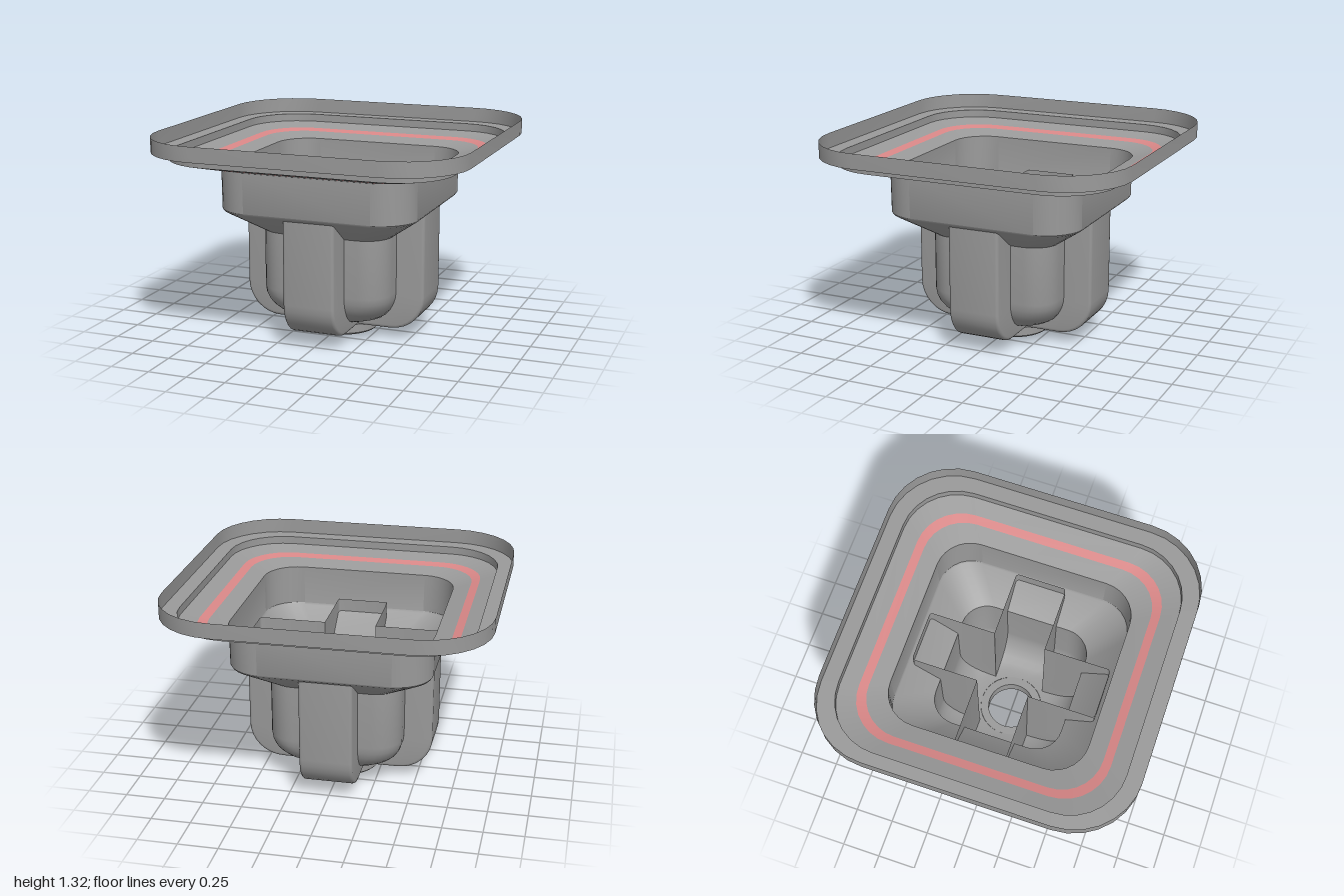
import * as THREE from 'three';
import { toCreasedNormals } from 'three/addons/utils/BufferGeometryUtils.js';

const grey = new THREE.MeshStandardMaterial({ color: 0x9a9a9a, side: THREE.DoubleSide });
const red = new THREE.MeshStandardMaterial({ color: 0xd98787, side: THREE.DoubleSide });

// Rounded square outline: half width h, corner radius r, height y
function section([h, r, y], seg = 7) {
  const pts = [];
  for (let c = 0; c < 4; c++) {
    const mid = Math.PI / 4 + c * Math.PI / 2;
    const cx = Math.sign(Math.cos(mid)) * (h - r), cz = Math.sign(Math.sin(mid)) * (h - r);
    for (let i = 0; i <= seg; i++) {
      const a = (c + i / seg) * Math.PI / 2;
      pts.push([cx + r * Math.cos(a), y, cz + r * Math.sin(a)]);
    }
  }
  return pts;
}

// Skin joining successive sections; closed sections wrap around
function loft(sections, closed, crease = 0.5) {
  const pos = [], idx = [], n = sections[0].length;
  sections.forEach(s => s.forEach(p => pos.push(...p)));
  for (let j = 0; j < sections.length - 1; j++) {
    for (let i = 0; i < (closed ? n : n - 1); i++) {
      const a = j * n + i, b = j * n + (i + 1) % n;
      idx.push(a, b, a + n, b, b + n, a + n);
    }
  }
  const g = new THREE.BufferGeometry();
  g.setAttribute('position', new THREE.Float32BufferAttribute(pos, 3));
  g.setIndex(idx);
  return toCreasedNormals(g, crease);
}

function add(parent, name, geometry, material = grey) {
  const mesh = new THREE.Mesh(geometry, material);
  mesh.name = name;
  parent.add(mesh);
  return mesh;
}

const skin = (rows, crease) => loft(rows.map(r => section(r)), true, crease);

export function createModel() {
  const model = new THREE.Group();
  model.name = 'squareFunnel';

  // Upright rim with a flat ledge and a short step
  add(model, 'rim', skin([[1, 0.42, 1.315], [1, 0.42, 1.22], [0.9, 0.35, 1.22], [0.9, 0.35, 1.17]], 0.4));

  // Shallow flange, split around the coloured band
  const flange = (name, a, b, mat) => add(model, name, skin([a, b]), mat);
  const outer = [0.795, 0.29, 1.142], inner = [0.742, 0.26, 1.129];
  flange('outerFlange', [0.9, 0.35, 1.17], outer);
  flange('sealBand', outer, inner, red);
  flange('innerFlange', inner, [0.632, 0.22, 1.1]);

  // Upper collar and the slope beneath it, with a softened lower edge
  add(model, 'collar', skin([[0.632, 0.22, 1.1], [0.63, 0.22, 0.845], [0.622, 0.215, 0.832], [0.42, 0.17, 0.688]], 0.55));

  // Deep cup with a rounded bottom and a round opening
  const cup = [[0.42, 0.17, 0.688]];
  for (let i = 0; i <= 8; i++) {
    const a = i / 8 * Math.PI / 2;
    cup.push([0.205 + 0.215 * Math.cos(a), 0.17 + 0.03 * i / 8, 0.315 - 0.215 * Math.sin(a)]);
  }
  add(model, 'cup', skin(cup, 0.6));

  // Four hollow, open-topped fins
  const w = 0.167, f = 0.02, path = [[0.6, 0.9, 1, 0]];
  for (let i = 0; i <= 8; i++) {
    const a = i / 8 * Math.PI / 2, c = Math.cos(a), s = Math.sin(a);
    path.push([0.38 + 0.22 * c, 0.287 - 0.22 * s, c, -s]);
  }
  path.push([w, 0.067, 0, -1]);
  const finSections = path.map(([r, y, nr, ny]) => {
    const half = [];
    for (let i = 0; i <= 3; i++) {
      const a = i / 3 * Math.PI / 2, d = f * (1 - Math.sin(a));
      half.push([w - f + f * Math.cos(a), y - ny * d, r - nr * d]);
    }
    half.unshift([w, half[0][1], w]);
    const mirrored = half.map(([x, yy, z]) => [-x, yy, z]).reverse();
    return [...half, ...mirrored];
  });
  const finGeometry = loft(finSections, false, 0.6);
  for (let i = 0; i < 4; i++) add(model, 'fin' + (i + 1), finGeometry).rotation.y = i * Math.PI / 2;

  // Outlet ring under the cup
  const ring = [[0.153, 0.1], [0.153, 0.01], [0.163, 0], [0.218, 0], [0.23, 0.012], [0.23, 0.067], [0.205, 0.1], [0.153, 0.1]];
  const ringGeometry = new THREE.LatheGeometry(ring.map(p => new THREE.Vector2(...p)), 32);
  add(model, 'outletRing', toCreasedNormals(ringGeometry, 0.5));

  return model;
}
